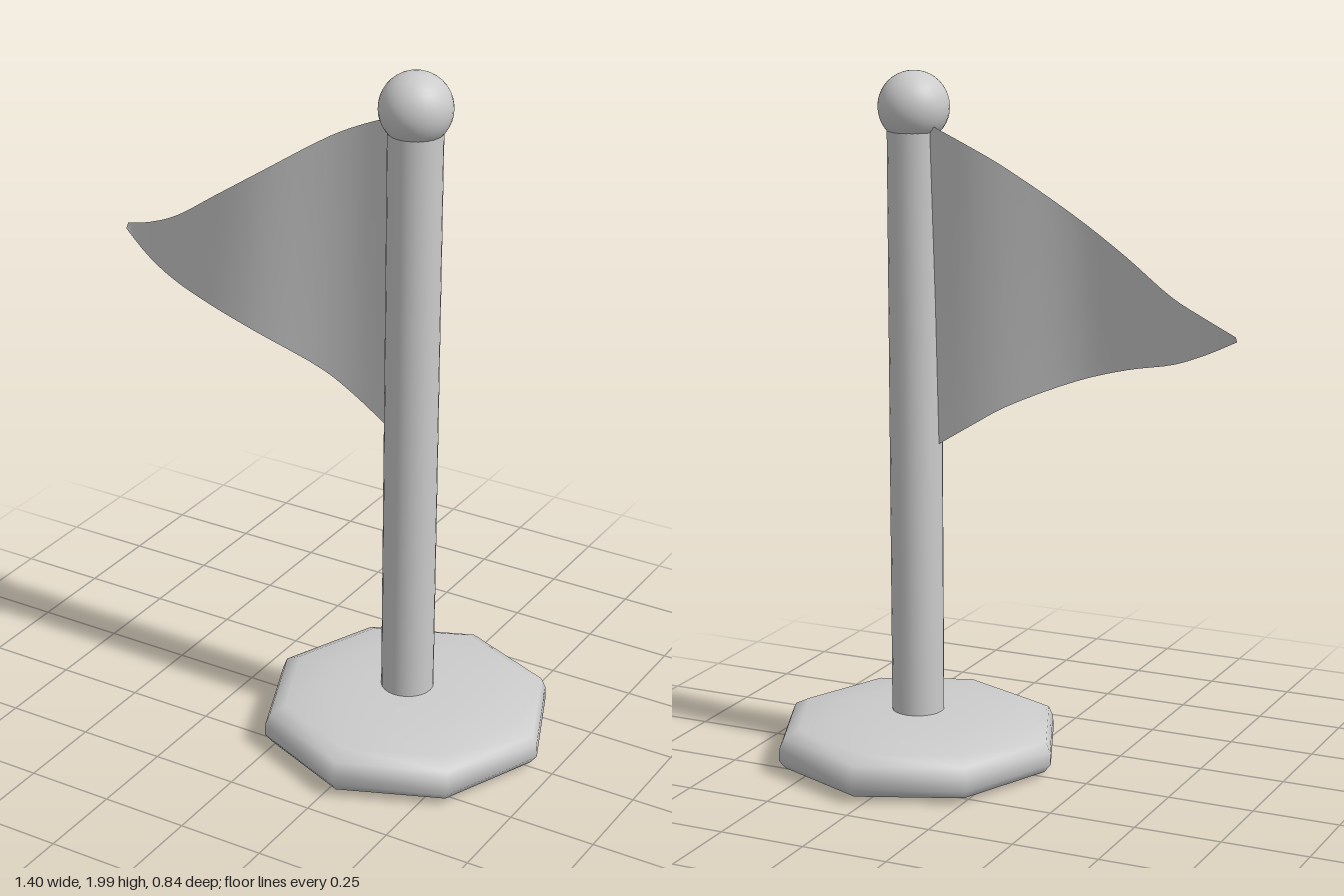
import * as THREE from 'three';

const POLE_X = 0.28;

function curve(points) {
  return new THREE.CatmullRomCurve3(points.map(([x, y, z]) => new THREE.Vector3(x, y, z)));
}

export function createModel() {
  const model = new THREE.Group();
  const material = new THREE.MeshStandardMaterial({ color: 0xcccccc });

  const add = (name, geometry, y = 0, mat = material) => {
    const mesh = new THREE.Mesh(geometry, mat);
    mesh.name = name;
    mesh.position.set(POLE_X, y, 0);
    model.add(mesh);
    return mesh;
  };

  // Eight-sided base with rounded rim
  const profile = [
    [0, 0.01], [0.25, 0.01], [0.36, 0.013], [0.4, 0.025], [0.42, 0.05],
    [0.418, 0.085], [0.405, 0.115], [0.36, 0.137], [0.24, 0.153], [0.12, 0.16], [0, 0.16],
  ].map(([r, y]) => new THREE.Vector2(r, y));
  add('base', new THREE.LatheGeometry(profile, 8));

  // Pole and ball on top
  add('pole', new THREE.CylinderGeometry(0.075, 0.075, 1.73, 24), 0.975);
  add('ball', new THREE.SphereGeometry(0.1, 32, 20), 1.9);

  // Waving pennant: a sheet stretched between its upper and lower edges
  const top = curve([
    [0.22, 1.86, -0.035], [0.1, 1.81, -0.045], [0, 1.76, -0.037], [-0.2, 1.63, 0.002],
    [-0.35, 1.53, 0.002], [-0.5, 1.43, -0.022], [-0.6, 1.385, -0.04], [-0.7, 1.35, -0.075],
  ]);
  const bottom = curve([
    [0.22, 0.945, -0.005], [0.1, 1.02, -0.01], [0, 1.08, -0.002], [-0.2, 1.165, 0.034],
    [-0.35, 1.21, 0.03], [-0.5, 1.245, -0.003], [-0.6, 1.285, -0.028], [-0.7, 1.335, -0.065],
  ]);
  const sheet = new THREE.PlaneGeometry(1, 1, 28, 10);
  const pos = sheet.attributes.position;
  for (let i = 0; i < pos.count; i++) {
    const along = 0.5 - pos.getX(i);
    const p = bottom.getPoint(along).lerp(top.getPoint(along), pos.getY(i) + 0.5);
    pos.setXYZ(i, p.x, p.y, p.z);
  }
  sheet.computeVertexNormals();
  const cloth = material.clone();
  cloth.side = THREE.DoubleSide;
  add('flag', sheet, 0, cloth).position.x = 0;

  return model;
}
